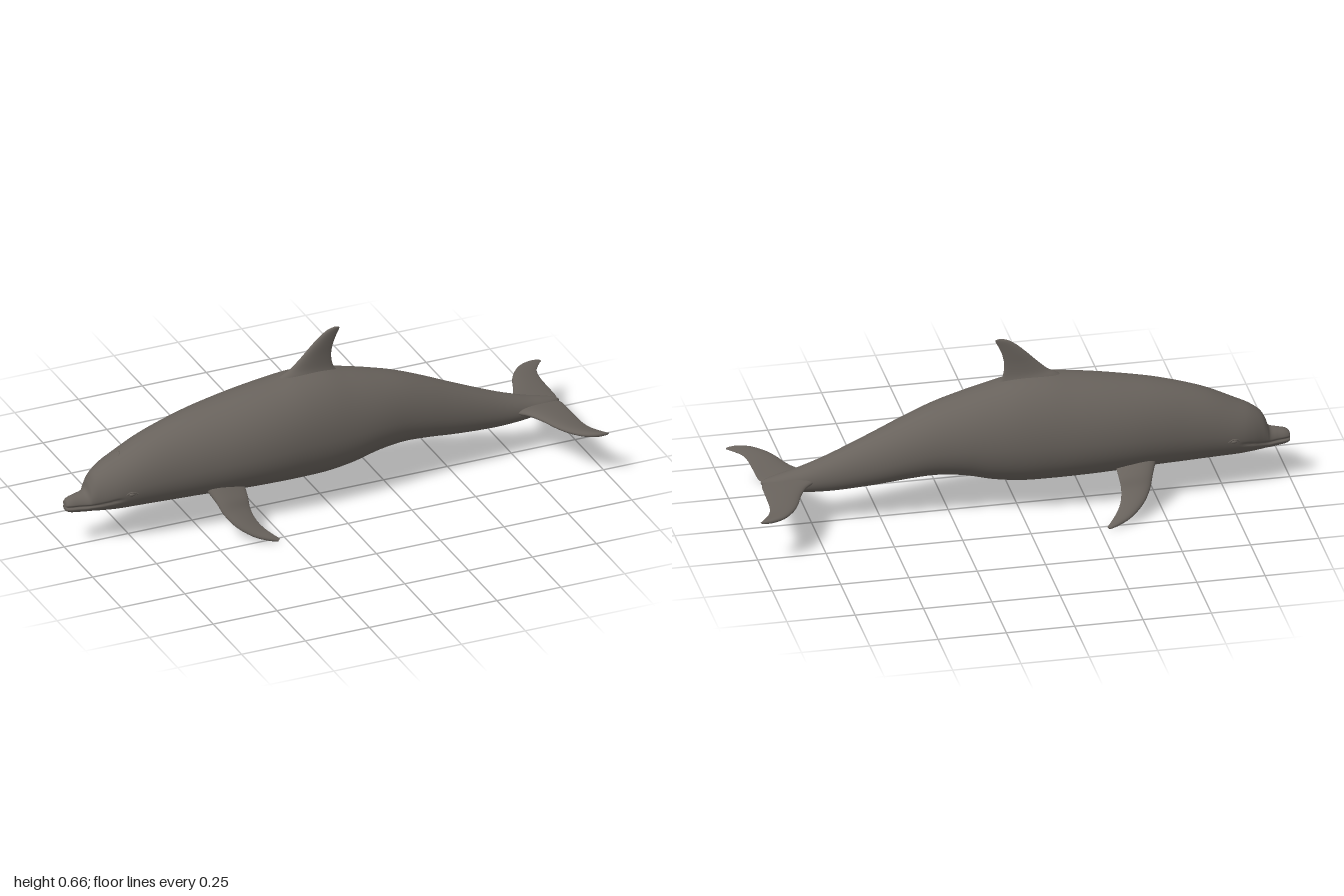
import * as THREE from 'three';

const skin = new THREE.MeshStandardMaterial({ color: 0x68625c });
skin.name = 'grey skin';

// Catmull-Rom sampling of whole rows of numbers
function resample(rows, steps) {
  const out = [], last = rows.length - 1;
  for (let i = 0; i < last; i++) {
    const a = rows[Math.max(i - 1, 0)], b = rows[i], c = rows[i + 1], d = rows[Math.min(i + 2, last)];
    for (let k = 0; k < steps; k++) {
      const t = k / steps;
      out.push(b.map((v, j) => v + 0.5 * t * (c[j] - a[j] +
        t * (2 * a[j] - 5 * v + 4 * c[j] - d[j] + t * (3 * (v - c[j]) + d[j] - a[j])))));
    }
  }
  out.push(rows[last]);
  return out;
}

// Closed smooth skin over rings of Vector3, with both ends capped, facing outward
function loft(rings) {
  const n = rings[0].length, m = rings.length;
  const centre = r => r.reduce((s, p) => s.add(p), new THREE.Vector3()).divideScalar(n);
  const pts = [...rings.flat(), centre(rings[0]), centre(rings[m - 1])];
  const tris = [];
  for (let j = 0; j < n; j++) {
    const k = (j + 1) % n, e = (m - 1) * n;
    for (let i = 0; i < m - 1; i++) {
      const a = i * n + j, b = i * n + k;
      tris.push([a, b, a + n], [b, b + n, a + n]);
    }
    tris.push([m * n, k, j], [m * n + 1, e + j, e + k]);
  }
  const cross = new THREE.Vector3();
  const volume = tris.reduce((s, [a, b, c]) => s + pts[a].dot(cross.crossVectors(pts[b], pts[c])), 0);
  if (volume < 0) tris.forEach(t => t.reverse());
  const geo = new THREE.BufferGeometry().setFromPoints(pts);
  geo.setIndex(tris.flat());
  geo.computeVertexNormals();
  return geo;
}

// Fin from rows [lead x,y,z, trail x,y,z, half thickness], thickened along a normal
function finGeometry(rows, normal) {
  const N = 28;
  return loft(resample(rows, 6).map(r => {
    const lead = new THREE.Vector3(r[0], r[1], r[2]), trail = new THREE.Vector3(r[3], r[4], r[5]);
    return Array.from({ length: N }, (_, j) => {
      const a = j / N * Math.PI * 2, s = (1 - Math.cos(a)) / 2;
      return lead.clone().lerp(trail, s).addScaledVector(normal, r[6] * Math.sin(a) * (1.3 - 0.7 * s));
    });
  }));
}

// Body stations: x, top, bottom, half width
const BODY = [
  [-1, 0.172, 0.16, 0.01], [-0.996, 0.19, 0.15, 0.021], [-0.98, 0.201, 0.143, 0.028],
  [-0.95, 0.208, 0.139, 0.034], [-0.922, 0.217, 0.137, 0.043], [-0.909, 0.25, 0.136, 0.05],
  [-0.89, 0.281, 0.134, 0.06], [-0.85, 0.311, 0.132, 0.079], [-0.8, 0.336, 0.13, 0.094],
  [-0.7, 0.385, 0.128, 0.11], [-0.6, 0.42, 0.126, 0.125], [-0.5, 0.447, 0.125, 0.141],
  [-0.4, 0.467, 0.122, 0.155], [-0.3, 0.485, 0.118, 0.163], [-0.2, 0.5, 0.115, 0.165],
  [-0.1, 0.512, 0.113, 0.162], [0, 0.508, 0.115, 0.156], [0.1, 0.486, 0.129, 0.146],
  [0.2, 0.46, 0.153, 0.132], [0.3, 0.43, 0.163, 0.115], [0.4, 0.39, 0.157, 0.1],
  [0.5, 0.345, 0.145, 0.085], [0.6, 0.301, 0.136, 0.07], [0.7, 0.259, 0.132, 0.057],
  [0.8, 0.224, 0.138, 0.047], [0.87, 0.206, 0.152, 0.036], [0.92, 0.193, 0.168, 0.016],
  [0.935, 0.184, 0.176, 0.004],
];

// Mouth line height along the beak, curving up at the cheek
const mouthY = x => 0.168 + 0.028 * THREE.MathUtils.smoothstep(x, -0.93, -0.79);

function bodyGeometry() {
  const N = 96;
  return loft(resample(BODY, 8).map(([x, top, bottom, half]) => {
    const mid = bottom + (top - bottom) * 0.45;
    const groove = 1 - THREE.MathUtils.smoothstep(x, -0.84, -0.79);
    return Array.from({ length: N }, (_, j) => {
      const a = j / N * Math.PI * 2, s = Math.sin(a), c = Math.cos(a);
      const y = mid + s * (s > 0 ? top - mid : mid - bottom);
      // fuller belly, and a crease along the mouth
      const full = s < 0 ? Math.sign(c) * Math.abs(c) ** 0.85 : c;
      const crease = 0.007 * groove * Math.exp(-(((y - mouthY(x)) / 0.005) ** 2));
      const z = half * full;
      return new THREE.Vector3(x, y, Math.sign(z) * Math.max(Math.abs(z) - crease, 0));
    });
  }));
}

const DORSAL = [
  [-0.2, 0.48, 0, 0.1, 0.47, 0, 0.04], [-0.15, 0.511, 0, 0.066, 0.493, 0, 0.026],
  [-0.115, 0.53, 0, 0.05, 0.52, 0, 0.017], [-0.075, 0.566, 0, 0.045, 0.56, 0, 0.012],
  [-0.035, 0.606, 0, 0.052, 0.6, 0, 0.01], [0, 0.638, 0, 0.064, 0.63, 0, 0.008],
  [0.03, 0.658, 0, 0.074, 0.65, 0, 0.006], [0.058, 0.666, 0, 0.078, 0.661, 0, 0.003],
];
const FLIPPER = [
  [-0.49, 0.175, 0.1, -0.34, 0.165, 0.1, 0.022], [-0.468, 0.135, 0.143, -0.345, 0.133, 0.145, 0.016],
  [-0.452, 0.098, 0.174, -0.347, 0.1, 0.17, 0.013], [-0.42, 0.06, 0.212, -0.338, 0.068, 0.2, 0.012],
  [-0.37, 0.028, 0.246, -0.318, 0.042, 0.228, 0.01], [-0.32, 0.011, 0.267, -0.293, 0.023, 0.254, 0.008],
  [-0.285, 0.004, 0.276, -0.275, 0.01, 0.27, 0.004],
];
const FLUKE = [
  [0.72, 0.187, 0, 0.915, 0.181, 0, 0.017], [0.745, 0.186, 0.04, 0.936, 0.18, 0.02, 0.015],
  [0.786, 0.184, 0.078, 0.94, 0.179, 0.07, 0.014], [0.815, 0.182, 0.13, 0.941, 0.178, 0.13, 0.013],
  [0.838, 0.181, 0.19, 0.944, 0.178, 0.19, 0.012], [0.865, 0.18, 0.24, 0.954, 0.178, 0.235, 0.011],
  [0.905, 0.179, 0.284, 0.972, 0.177, 0.265, 0.01], [0.95, 0.178, 0.304, 0.99, 0.176, 0.288, 0.008],
  [0.988, 0.177, 0.306, 1, 0.176, 0.299, 0.004],
];
const mirrorZ = rows => rows.map(([a, b, c, d, e, f, t]) => [a, b, -c, d, e, -f, t]);

export function createModel() {
  const model = new THREE.Group();
  model.name = 'dolphin';
  const add = (name, geo) => {
    const mesh = new THREE.Mesh(geo, skin);
    mesh.name = name;
    model.add(mesh);
    return mesh;
  };
  const tube = (points, r) => new THREE.TubeGeometry(
    new THREE.CatmullRomCurve3(points.map(p => new THREE.Vector3(...p))), 16, r, 6);

  add('body', bodyGeometry());
  add('dorsalFin', finGeometry(DORSAL, new THREE.Vector3(0, 0, 1)));

  for (const side of [1, -1]) {
    const label = side > 0 ? 'left' : 'right';
    const shape = rows => side > 0 ? rows : mirrorZ(rows);
    add(label + 'Flipper', finGeometry(shape(FLIPPER), new THREE.Vector3(0, 0.74, 0.67 * side)));
    add(label + 'Fluke', finGeometry(shape(FLUKE), new THREE.Vector3(0, 1, 0)));

    // eye with a drooping upper lid
    const eye = add(label + 'Eye', new THREE.SphereGeometry(0.01, 16, 12));
    eye.position.set(-0.775, 0.213, 0.094 * side);
    eye.scale.set(1.3, 0.7, 0.7);
    add(label + 'Eyelid', tube([[-0.797, 0.213, 0.093 * side], [-0.785, 0.221, 0.097 * side],
      [-0.77, 0.222, 0.099 * side], [-0.755, 0.214, 0.1 * side]], 0.003));
  }

  // crescent rim of the blowhole
  add('blowhole', tube([[-0.797, 0.333, -0.017], [-0.787, 0.341, -0.009], [-0.784, 0.343, 0],
    [-0.787, 0.341, 0.009], [-0.797, 0.333, 0.017]], 0.0025));
  return model;
}
